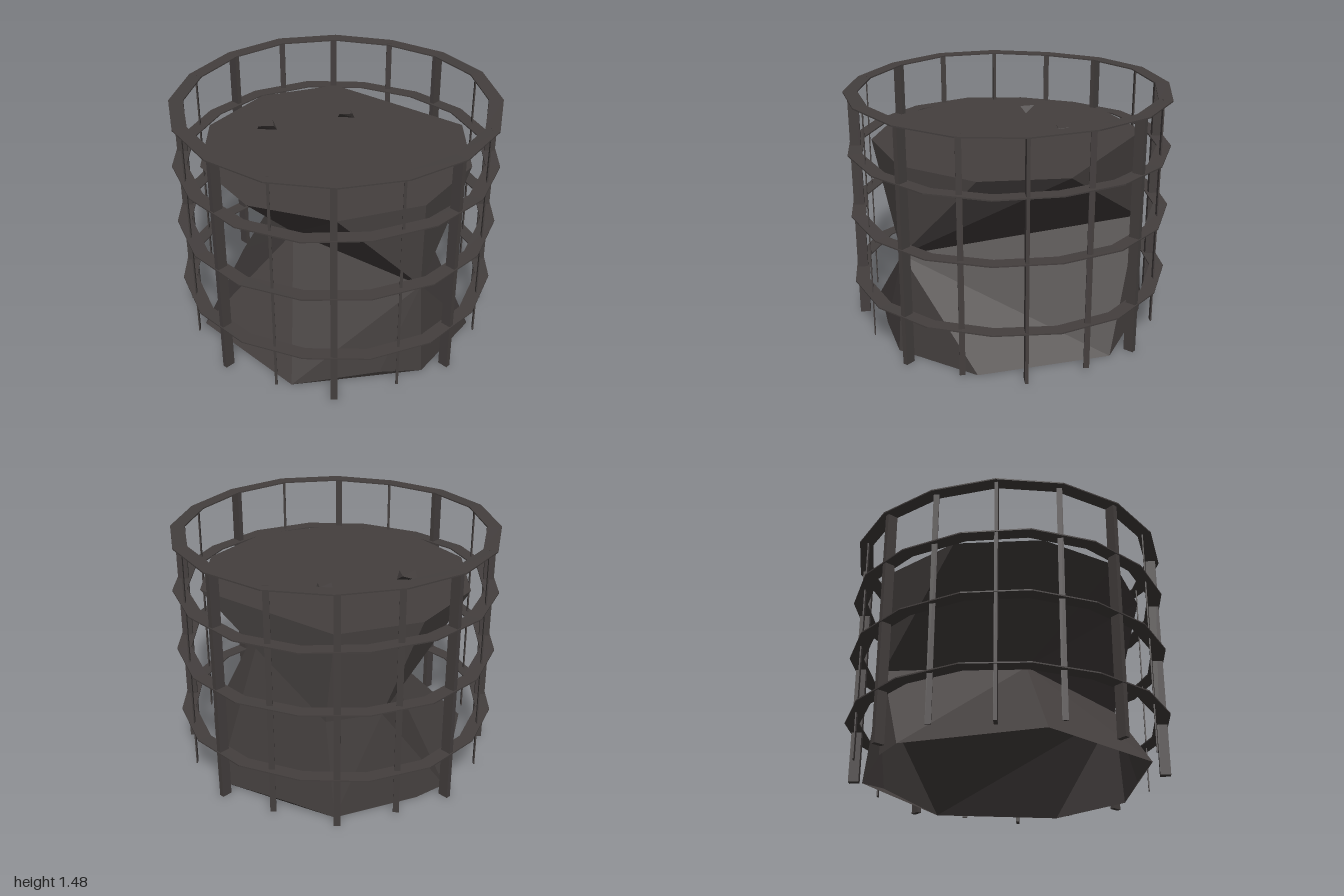
import * as THREE from 'three';
import { ConvexGeometry } from 'three/addons/geometries/ConvexGeometry.js';

// Open faceted shell from triangles
function shell(triangles) {
  const geometry = new THREE.BufferGeometry()
    .setFromPoints(triangles.flat().map((p) => new THREE.Vector3(...p)));
  geometry.computeVertexNormals();
  return geometry;
}

// Joins a lower loop to an upper one, always taking the shorter diagonal
function zip(a, b) {
  const dist = (p, q) => Math.hypot(p[0] - q[0], p[2] - q[2]);
  const triangles = [];
  let i = 0, j = 0;
  while (i < a.length || j < b.length) {
    const pa = a[i % a.length], pb = b[j % b.length];
    const na = a[(i + 1) % a.length], nb = b[(j + 1) % b.length];
    const stepA = j >= b.length || (i < a.length && dist(na, pb) < dist(pa, nb));
    triangles.push([pa, pb, stepA ? na : nb]);
    if (stepA) i++; else j++;
  }
  return triangles;
}

export function createModel() {
  const model = new THREE.Group();
  const iron = new THREE.MeshStandardMaterial({ color: 0x443f3e, side: THREE.DoubleSide });
  iron.name = 'dark iron';

  const add = (name, geometry, x = 0, y = 0, z = 0, turn = 0) => {
    const mesh = new THREE.Mesh(geometry, iron);
    mesh.name = name;
    mesh.position.set(x, y, z);
    mesh.rotation.y = turn;
    model.add(mesh);
  };

  // Core: a faceted shell pinched at an off-centre waist, open below
  const top = [];
  for (let i = 1; i <= 10; i++) {
    if (i === 8) continue; // one corner is cut off at the back
    const a = (18 + i * 36) * Math.PI / 180;
    top.push([0.84 * Math.cos(a), 1.175, 0.84 * Math.sin(a)]);
  }
  const waist = [[0.49, 0.68], [-0.27, 0.13], [-0.27, -0.74], [0.05, -0.83]]
    .map(([x, z]) => [x, 0.62, z]);
  const base = [
    [0.52, 0, 0.72], [0.26, 0.05, 0.79], [-0.27, 0, 0.845], [-0.85, 0, 0.27],
    [-0.67, 0, -0.56], [-0.49, 0, -0.69], [0, 0, -0.89], [0.27, 0.05, -0.81],
    [0.72, 0, -0.53], [0.85, 0, 0.27],
  ];
  add('upperCore', shell(zip(waist, top)));
  add('lowerCore', shell(zip(base, waist)));
  add('coreTop', shell(top.slice(2).map((p, i) => [p, top[i + 1], top[0]])));
  // Slivers that close the raised spots of the bottom rim
  add('baseSills', shell([[base[0], base[1], base[2]], [base[6], base[7], base[8]]]));

  // Small wedge chips floating above the core
  const chip = (s) => new ConvexGeometry([
    [-0.062, 0, 0], [0.062, 0, 0.01], [-0.05, 0.045, 0.05 * s],
    [0.045, 0.045, 0.045 * s], [0.03, 0.045, -0.05 * s],
  ].map((p) => new THREE.Vector3(...p)));
  add('chip', chip(1), -0.428, 1.2, -0.163);
  add('chip', chip(0.7).scale(0.85, 0.85, 1), 0.065, 1.2, -0.325);

  // Flat, slightly wavy hoops; the top one has its corners on the posts
  const inner = 0.908, outer = 0.995, half = 0.004;
  const section = [[outer, -half], [outer, half], [inner, half], [inner, -half], [outer, -half]]
    .map(([x, y]) => new THREE.Vector2(x, y));
  [0.318, 0.745, 1.135, 1.475].forEach((y, k) => {
    const hoop = new THREE.LatheGeometry(section, 16).toNonIndexed();
    const p = hoop.attributes.position;
    for (let i = 0; i < p.count; i++) {
      const a = Math.atan2(p.getZ(i), p.getX(i));
      p.setY(i, p.getY(i) + 0.006 * Math.sin(a * 4 + k));
    }
    hoop.computeVertexNormals();
    add('hoop', hoop, 0, y, 0, k < 3 ? Math.PI / 16 : 0);
  });

  // Upright bars: eight broad radial ones with thin strips between
  for (let i = 0; i < 16; i++) {
    const a = i * Math.PI / 8;
    const x = 0.938 * Math.cos(a), z = 0.938 * Math.sin(a);
    if (i % 2 === 0) {
      const thickness = i % 8 === 0 ? 0.02 : i % 8 === 4 ? 0.04 : 0.03;
      const shift = i % 8 === 4 ? -0.015 : 0;
      add('post', new THREE.BoxGeometry(0.064, 1.475, thickness), x + shift, 0.7375, z, -a);
    } else if (Math.abs(x) > Math.abs(z)) {
      add('sideStrip', new THREE.BoxGeometry(0.008, 1.45, 0.034), x * 1.01, 0.75, z);
    } else {
      const width = z < 0 ? 0.036 : 0.016;
      add('thinStrip', new THREE.BoxGeometry(width, 1.45, 0.008), x, 0.75, z);
    }
  }
  return model;
}
